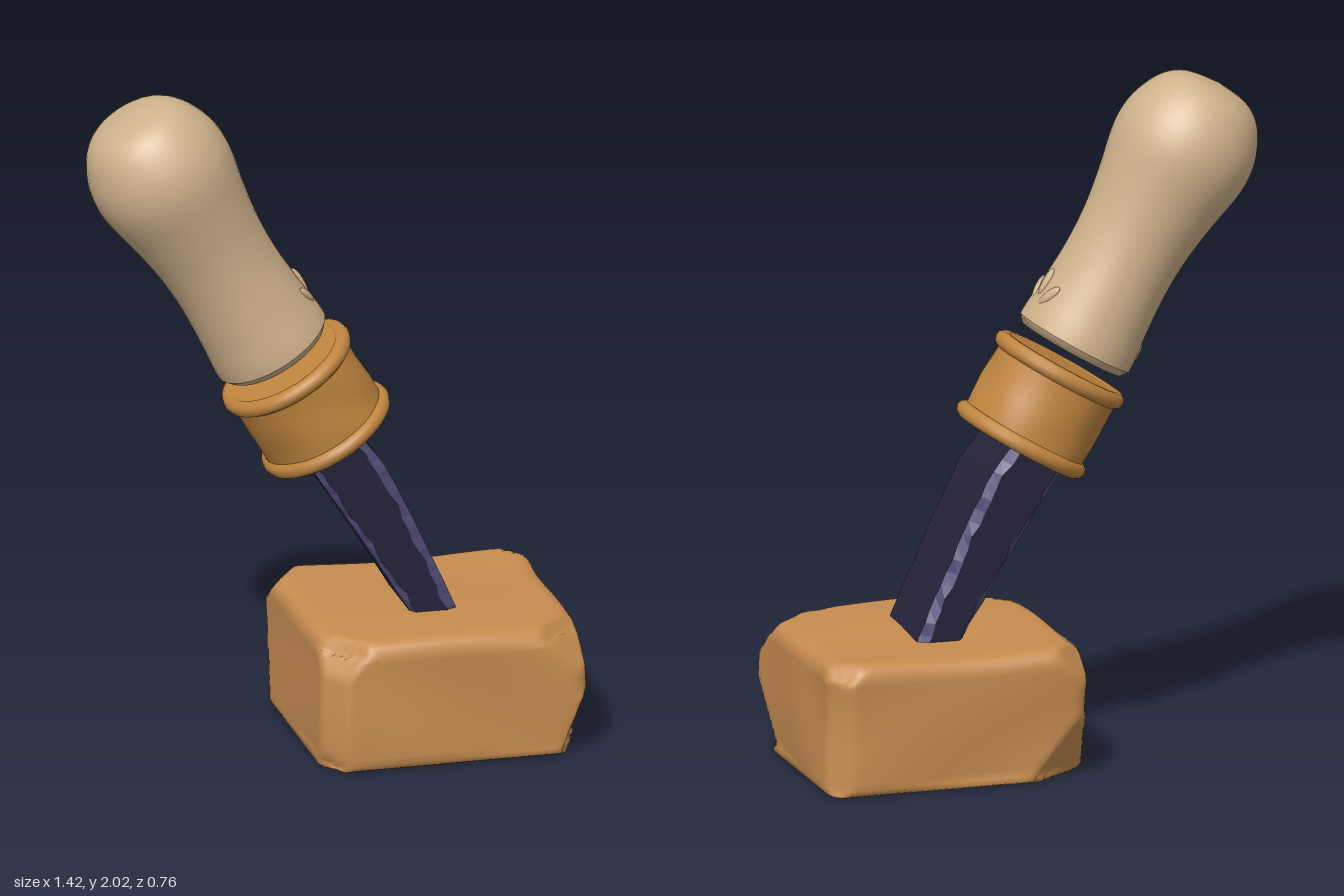
import * as THREE from 'three';
import { mergeVertices } from 'three/addons/utils/BufferGeometryUtils.js';

const material = (name, color) => {
  const m = new THREE.MeshStandardMaterial({ color });
  m.name = name;
  return m;
};

const mesh = (name, geometry, mat) => {
  const m = new THREE.Mesh(geometry, mat);
  m.name = name;
  return m;
};

// Smooth repeatable unevenness in about -1..1
const wave = (x, y, z) =>
  (Math.sin(x * 9 + z * 5 + 1) + Math.sin(z * 11 - y * 8 + 2) + Math.sin(y * 13 + x * 7 - z * 4)) / 3;

// Rounded stone block with its corners knocked off
function blockGeometry() {
  const half = new THREE.Vector3(0.405, 0.2, 0.38);
  const box = new THREE.BoxGeometry(0.81, 0.4, 0.76, 36, 18, 36);
  box.deleteAttribute('uv');
  box.deleteAttribute('normal');
  const geo = mergeVertices(box, 1e-4);
  // Chips: plane normal and how deep it cuts below the box corner
  const chips = [
    [1, -0.35, 0.4, 0.075], [-0.6, -0.5, -0.8, 0.1], [-0.7, 0.6, 0.7, 0.1],
    [0.7, 0.8, 0.7, 0.1], [0.6, 0.7, -0.7, 0.07], [-0.7, 0.7, -0.6, 0.08],
    [-0.8, 0, 0.8, 0.05], [0.9, 0, -0.8, 0.045], [-0.8, -0.5, 0.6, 0.06],
    [0.1, 0.9, 0.6, 0.045], [-0.6, 0.9, -0.1, 0.035],
  ].map(([x, y, z, depth]) => {
    const n = new THREE.Vector3(x, y, z).normalize();
    const reach = Math.abs(n.x) * half.x + Math.abs(n.y) * half.y + Math.abs(n.z) * half.z;
    return { n, d: reach - depth };
  });
  const pos = geo.attributes.position;
  const p = new THREE.Vector3(), core = new THREE.Vector3(), off = new THREE.Vector3();
  for (let i = 0; i < pos.count; i++) {
    p.fromBufferAttribute(pos, i);
    const r = p.y < 0 ? 0.025 : 0.05;
    core.set(...['x', 'y', 'z'].map((k) => THREE.MathUtils.clamp(p[k], r - half[k], half[k] - r)));
    off.subVectors(p, core);
    if (off.length() > r) p.copy(core).add(off.setLength(r));
    for (const { n, d } of chips) {
      const over = p.dot(n) - d;
      if (over > 0) p.addScaledVector(n, -over);
    }
    // Worn sides and top, level underside
    const w = 0.012 * (wave(p.x, p.y, p.z) - 0.6);
    if (p.y > -0.19) {
      p.x += Math.sign(p.x) * w * Math.min(1, Math.abs(p.x) / 0.3);
      p.z += Math.sign(p.z) * w * Math.min(1, Math.abs(p.z) / 0.3);
      if (p.y > 0.15) p.y += w * 0.8;
    }
    pos.setXYZ(i, p.x, p.y, p.z);
  }
  geo.computeVertexNormals();
  return geo;
}

// Bent bar with ragged bevelled corners; group 0 = faces, group 1 = bevels
function bladeGeometry() {
  const curve = (pts) => new THREE.CatmullRomCurve3(pts.map(([x, y]) => new THREE.Vector3(x, y, 0)));
  const left = curve([[-0.12, 0.95], [-0.07, 0.86], [0.06, 0.66], [0.22, 0.4], [0.28, 0.3]]);
  const right = curve([[0.03, 1.02], [0.08, 0.95], [0.145, 0.86], [0.28, 0.58], [0.36, 0.4], [0.4, 0.3]]);
  const levels = 20, rings = [];
  const rag = (i, k) => 0.5 + 0.5 * Math.sin(i * 1.9 + k * 2.3) * Math.cos(i * 0.7 + k);
  for (let i = 0; i <= levels; i++) {
    const a = left.getPointAt(i / levels), b = right.getPointAt(i / levels);
    const len = a.distanceTo(b);
    const ring = [];
    // Around the section: each corner gives two points
    [[1, -1], [1, 1], [-1, 1], [-1, -1]].forEach(([sx, sz], k) => {
      const cx = (sx > 0 ? 0.022 : 0.01) + 0.014 * rag(i, k);
      const cz = 0.01 + 0.016 * rag(i + 3, k);
      const at = (inset, z) => {
        const t = sx > 0 ? 1 - inset / len : inset / len;
        const q = a.clone().lerp(b, t);
        return [q.x, q.y, z];
      };
      const onX = at(0, sz * (0.152 - cz)), onZ = at(cx, sz * 0.152);
      ring.push(...(sx * sz > 0 ? [onX, onZ] : [onZ, onX]));
    });
    rings.push(ring);
  }
  const coords = [], geo = new THREE.BufferGeometry();
  for (const bevel of [0, 1]) {
    const start = coords.length / 3;
    for (let i = 0; i < levels; i++) {
      for (let k = 0; k < 8; k++) {
        if ((k % 2 === 0 ? 1 : 0) !== bevel) continue;
        const n = (k + 1) % 8;
        const [p, q, r, s] = [rings[i][k], rings[i][n], rings[i + 1][n], rings[i + 1][k]];
        coords.push(...p, ...q, ...s, ...q, ...r, ...s);
      }
    }
    geo.addGroup(start, coords.length / 3 - start, bevel);
  }
  geo.setAttribute('position', new THREE.Float32BufferAttribute(coords, 3));
  geo.computeVertexNormals();
  return geo;
}

const lathe = (points, sides = 40) =>
  new THREE.LatheGeometry(points.map(([r, y]) => new THREE.Vector2(r, y)), sides);

export function createModel() {
  const wood = material('pale wood', 0xcfb28b);
  const stone = material('tan stone', 0xc68c50);
  const brass = material('brass', 0xc0853f);
  const steel = material('dark steel', 0x25243b);
  const edge = material('worn steel edge', 0x504c78);

  const model = new THREE.Group();
  const block = mesh('block', blockGeometry(), stone);
  block.position.set(0.302, 0.2, 0);
  model.add(block, mesh('blade', bladeGeometry(), [steel, edge]));

  // Leaning grip, built upright from the underside of the collar
  const grip = new THREE.Group();
  grip.name = 'grip';
  grip.position.set(0.012, 0.922, 0);
  grip.rotation.z = THREE.MathUtils.degToRad(30.5);
  model.add(grip);

  // Hammered collar band between two rolled rims
  const band = lathe([0.02, 0.06, 0.1, 0.14, 0.18, 0.22, 0.26].map((y) => [0.193, y]), 48);
  const bp = band.attributes.position;
  for (let i = 0; i < bp.count; i++) {
    const s = 1 + 0.022 * wave(bp.getX(i) * 3, bp.getY(i) * 3, bp.getZ(i) * 3);
    bp.setXYZ(i, bp.getX(i) * s, bp.getY(i), bp.getZ(i) * s);
  }
  band.computeVertexNormals();
  grip.add(mesh('collarBand', band, brass));
  for (const y of [0.024, 0.258]) {
    const rim = mesh('collarRim', new THREE.TorusGeometry(0.188, 0.025, 10, 48), brass);
    rim.rotation.x = Math.PI / 2;
    rim.position.y = y;
    const cap = mesh('collarCap', new THREE.CylinderGeometry(0.19, 0.19, 0.04, 48), brass);
    cap.position.y = y;
    grip.add(rim, cap);
  }

  // Waisted handle with a round knob
  const profile = new THREE.SplineCurve([
    [0.182, 0.35], [0.18, 0.39], [0.172, 0.47], [0.165, 0.6], [0.17, 0.72], [0.188, 0.84],
    [0.21, 0.95], [0.214, 1.02], [0.2, 1.09], [0.16, 1.165], [0.1, 1.207], [0, 1.222],
  ].map(([r, y]) => new THREE.Vector2(r, y))).getPoints(44).map((p) => [Math.max(p.x, 0), p.y]);
  grip.add(mesh('handle', lathe(profile), wood));
  grip.add(mesh('handleBase', lathe([[0, 0.328], [0.165, 0.328], [0.182, 0.35]]), wood));

  // Small raised splinters near the foot of the handle
  for (const [angle, y, tilt] of [[0, 0.47, 0], [0.3, 0.44, -0.6], [-0.3, 0.44, 0.6], [2.8, 0.4, 0.3]]) {
    const splinter = mesh('splinter', new THREE.SphereGeometry(1, 10, 8), wood);
    splinter.scale.set(0.011, 0.045, 0.017);
    splinter.position.set(0.172 * Math.cos(angle), y, -0.172 * Math.sin(angle));
    splinter.rotation.set(tilt, angle, 0, 'YXZ');
    grip.add(splinter);
  }
  return model;
}
